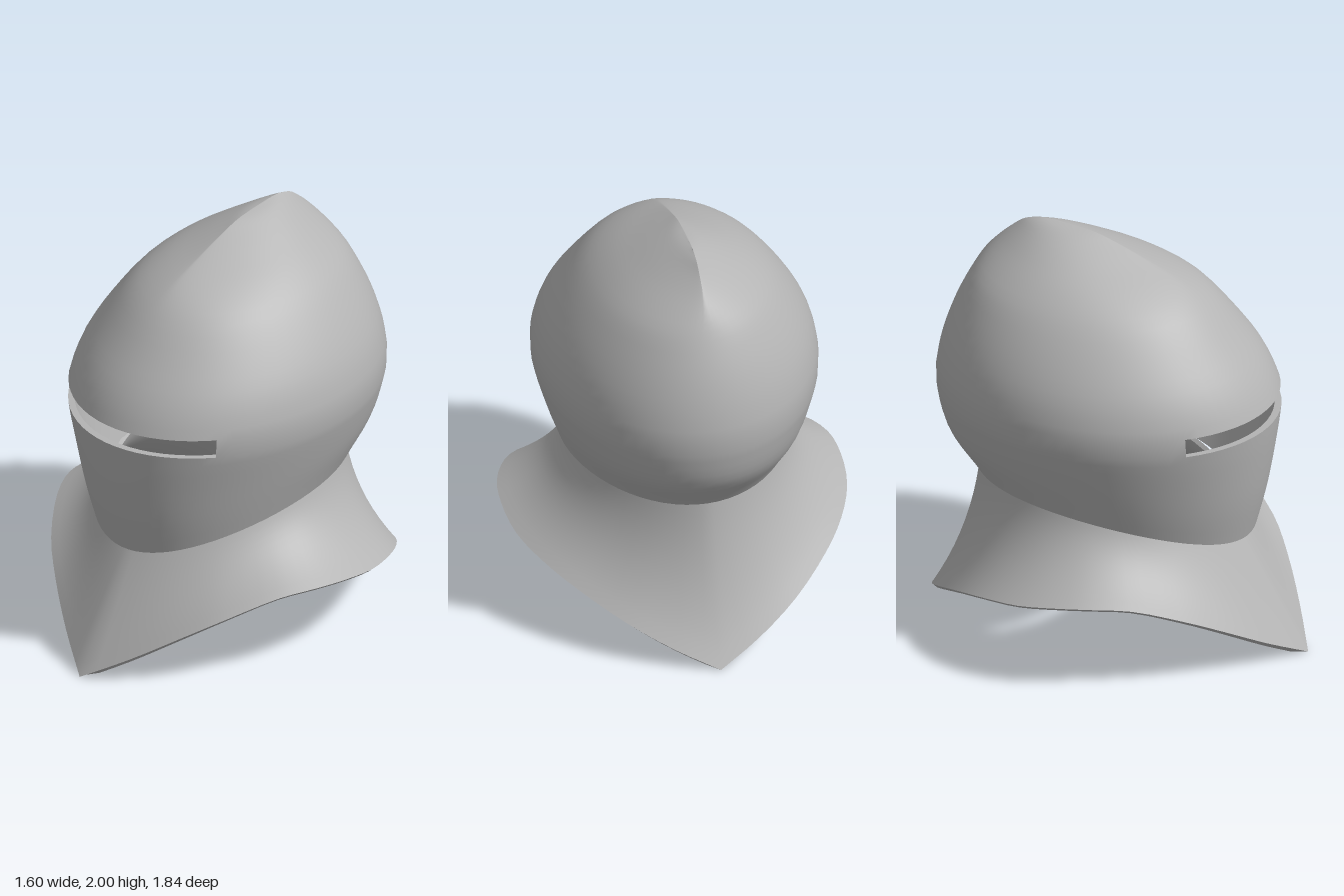
import * as THREE from 'three';
import { toCreasedNormals } from 'three/addons/utils/BufferGeometryUtils.js';

const { lerp, smoothstep } = THREE.MathUtils;

// Thick shell over a u/v grid: outer skin, inner skin, and rims around every opening
function shell(us, vs, point, isHole = () => false) {
  const nu = us.length - 1, nv = vs.length - 1;
  const grid = [false, true].map(inner => us.map(u => vs.map(v => point(u, v, inner))));
  const positions = [];
  const quad = (a, b, c, d) => [a, b, c, a, c, d].forEach(p => positions.push(p.x, p.y, p.z));
  const solid = (i, j) => j >= 0 && j < nv && !isHole(us[(i + nu) % nu], us[(i + nu) % nu + 1], vs[j]);

  for (let i = 0; i < nu; i++) for (let j = 0; j < nv; j++) {
    if (!solid(i, j)) continue;
    const corners = [[i, j], [i + 1, j], [i + 1, j + 1], [i, j + 1]];
    const out = corners.map(([a, b]) => grid[0][a][b]);
    const inn = corners.map(([a, b]) => grid[1][a][b]);
    quad(...out);
    quad(...[...inn].reverse());
    [[i, j - 1], [i + 1, j], [i, j + 1], [i - 1, j]].forEach(([a, b], k) => {
      const n = (k + 1) % 4;
      if (!solid(a, b)) quad(out[n], out[k], inn[k], inn[n]);
    });
  }
  const geometry = new THREE.BufferGeometry();
  geometry.setAttribute('position', new THREE.Float32BufferAttribute(positions, 3));
  // Enlarged while creasing, so that close vertices stay distinct
  geometry.scale(100, 100, 100);
  return toCreasedNormals(geometry, 0.55).scale(0.01, 0.01, 0.01);
}

const steps = (a, b, n) => Array.from({ length: n }, (_, i) => lerp(a, b, i / n));
const mirrored = half => [...half.slice(1).reverse().map(v => -v), ...half];

// Helmet sections: height, half width, front z, back z
const SECTIONS = [
  [0.565, 0.455, 0.64, -0.60], [0.765, 0.52, 0.69, -0.675], [0.965, 0.59, 0.725, -0.82],
  [1.165, 0.645, 0.75, -0.868], [1.255, 0.648, 0.745, -0.868], [1.4, 0.615, 0.675, -0.84],
  [1.55, 0.54, 0.56, -0.79], [1.7, 0.435, 0.43, -0.72], [1.8, 0.33, 0.30, -0.66],
  [1.88, 0.215, 0.13, -0.59], [1.94, 0.12, -0.02, -0.525], [1.98, 0.05, -0.15, -0.47],
  [2.0, 0, -0.34, -0.40],
];
const LAST = SECTIONS.length - 1;
const SLIT_ROW = 3, SLIT_ANGLE = 0.8;

// Smooth section at fractional row t
function sectionAt(t) {
  const i = Math.min(Math.floor(t), LAST - 1), f = t - i;
  const row = k => SECTIONS[Math.max(0, Math.min(LAST, k))];
  return [0, 1, 2, 3].map(k => {
    const p1 = row(i)[k], p2 = row(i + 1)[k];
    const m1 = (p2 - row(i - 1)[k]) / 2, m2 = (row(i + 2)[k] - p1) / 2;
    return p1 + f * (m1 + f * (3 * (p2 - p1) - 2 * m1 - m2 + f * (2 * (p1 - p2) + m1 + m2)));
  });
}

// Fractional row at which the helmet reaches height y
function rowAtHeight(y) {
  let lo = 0, hi = SLIT_ROW;
  for (let k = 0; k < 24; k++) {
    const mid = (lo + hi) / 2;
    if (sectionAt(mid)[0] < y) lo = mid; else hi = mid;
  }
  return lo;
}

// Height of the helmet's lower edge, dipping toward the chin
const edgeHeight = angle => {
  const c = Math.cos(angle);
  return 0.757 - 0.0975 * c - 0.09 * c * c;
};

// Rounded at the brow, drawn to a sharp crest on top
function helmetPoint(angle, v, inner) {
  const start = rowAtHeight(edgeHeight(angle));
  const t = v < SLIT_ROW ? lerp(start, SLIT_ROW, v / SLIT_ROW) : v;
  const [y, w, front, back] = sectionAt(t);
  const s = inner ? 0.96 : 1;
  const sin = Math.sin(angle);
  const sharp = smoothstep(y, 1.7, 2);
  const x = w * s * Math.sign(sin) * Math.pow(Math.abs(sin), 1 + sharp);
  const z = (front + back) / 2 + s * (front - back) / 2 * Math.cos(angle);
  const drop = inner ? 0.03 * Math.pow(Math.max(0, (y - 1.2) / 0.8), 2) : 0;
  return new THREE.Vector3(x, y - drop, z);
}

// Outer edge of the collar, front tip to back tip
const COLLAR_EDGE = new THREE.CatmullRomCurve3([
  [0, 0, 0.92], [0.2, 0.12, 0.8], [0.4, 0.255, 0.66], [0.55, 0.355, 0.53], [0.7, 0.445, 0.33],
  [0.78, 0.46, 0.16], [0.8, 0.445, 0], [0.78, 0.41, -0.2], [0.7, 0.37, -0.4],
  [0.59, 0.315, -0.56], [0.4, 0.21, -0.74], [0.2, 0.1, -0.85], [0, 0, -0.92],
].map(p => new THREE.Vector3(...p)));

// Collar: concave flare from the neck, with ridges at front and back
function collarPoint(u, v, inner) {
  const edge = COLLAR_EDGE.getPoint(Math.abs(u));
  const angle = Math.atan2(edge.x / 0.8, edge.z / 0.92);
  const neck = new THREE.Vector3(
    0.51 * Math.pow(Math.max(0, Math.sin(angle)), 1.2),
    edgeHeight(angle) + 0.02,
    -0.05 + 0.62 * Math.cos(angle));
  const frontness = Math.pow(Math.max(0, Math.cos(angle)), 2);
  const out = lerp(0.15, 0.5, frontness), down = lerp(0.57, 0.5, frontness);
  const control = new THREE.Vector3(
    lerp(neck.x, edge.x, out), lerp(neck.y, edge.y, down), lerp(neck.z, edge.z, out));
  const p = new THREE.QuadraticBezierCurve3(edge, control, neck).getPoint(v);
  if (u < 0) p.x *= -1;
  if (inner) p.set(p.x * 0.975, Math.max(0, p.y - 0.018), p.z * 0.975);
  return p;
}

export function createModel() {
  const steel = new THREE.MeshStandardMaterial({ color: 0xb4b4b4 });
  steel.name = 'steel';
  const group = new THREE.Group();
  group.name = 'knightHelmet';
  const add = (name, geometry) => {
    const mesh = new THREE.Mesh(geometry, steel);
    mesh.name = name;
    group.add(mesh);
  };

  // Helmet bowl with the eye slit left open
  const angles = mirrored([...steps(0, SLIT_ANGLE, 9), ...steps(SLIT_ANGLE, Math.PI, 24), Math.PI]);
  const rows = [...steps(0, SLIT_ROW, 9), SLIT_ROW, ...steps(SLIT_ROW + 1, LAST, 24), LAST];
  const isSlit = (a, b, row) => row === SLIT_ROW && Math.abs(a + b) / 2 < SLIT_ANGLE;
  add('helmetBowl', shell(angles, rows, helmetPoint, isSlit));

  // Flared neck collar
  add('collar', shell(mirrored([...steps(0, 1, 36), 1]), [...steps(0, 1, 10), 1], collarPoint));

  return group;
}
